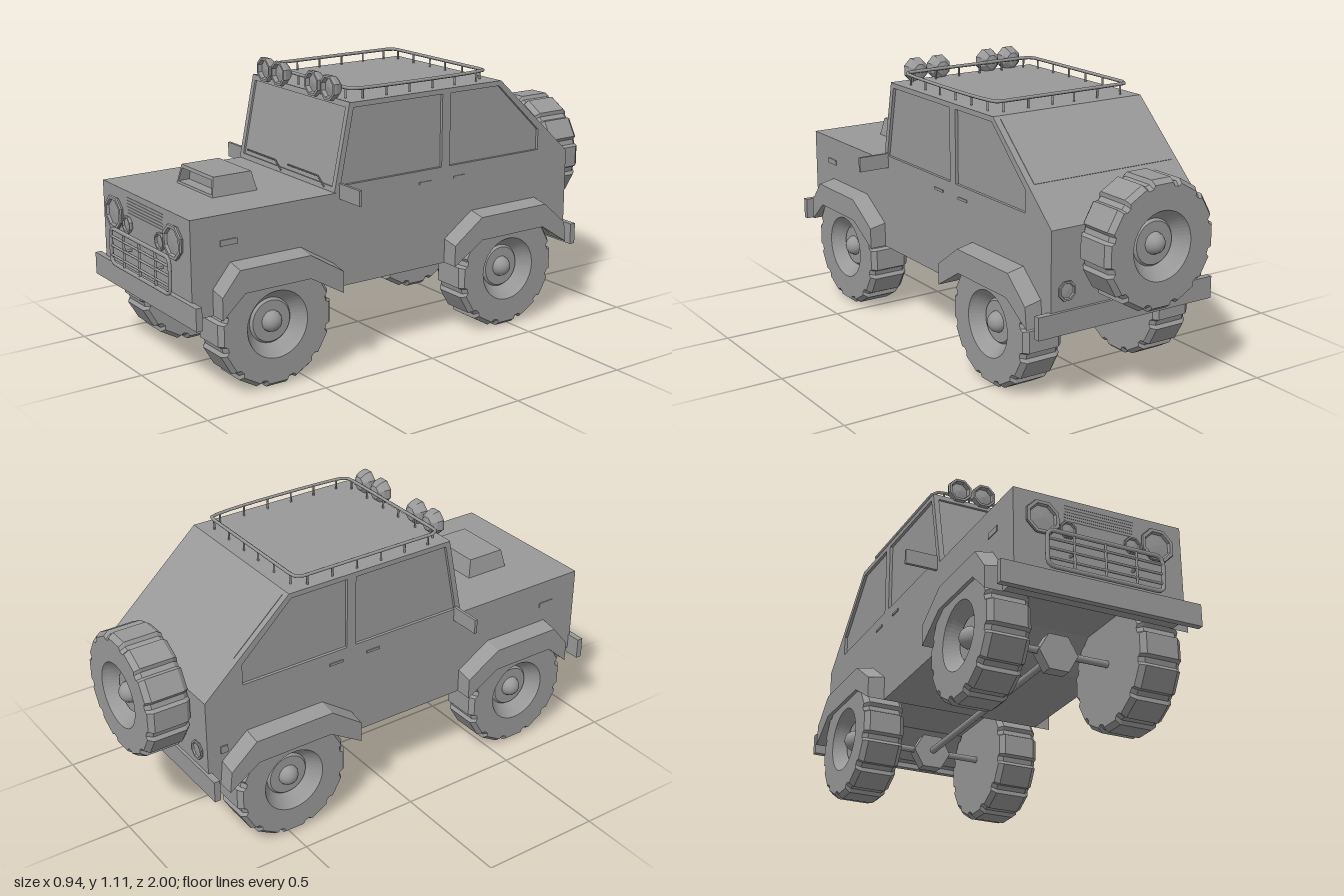
import * as THREE from 'three';

const smooth = new THREE.MeshStandardMaterial({ color: 0x999999, side: THREE.DoubleSide });
const flat = new THREE.MeshStandardMaterial({ color: 0x999999, flatShading: true, side: THREE.DoubleSide });

function add(parent, name, geo, x = 0, y = 0, z = 0, mat = flat) {
  const m = new THREE.Mesh(geo, mat);
  m.name = name;
  m.position.set(x, y, z);
  parent.add(m);
  return m;
}
const box = (p, name, w, h, d, x, y, z) => add(p, name, new THREE.BoxGeometry(w, h, d), x, y, z);
const vectors = pts => pts.map(p => new THREE.Vector2(...p));
function poly(pts, ...holes) {
  const s = new THREE.Shape(vectors(pts));
  s.holes = holes.map(h => new THREE.Path(vectors(h)));
  return s;
}
const extrude = (shape, depth) => new THREE.ExtrudeGeometry(shape, { depth, bevelEnabled: false });

// Extrude a (z, y) outline sideways from x0 to x1
const slab = (shape, x0, x1) => extrude(shape, x1 - x0).rotateY(-Math.PI / 2).translate(x1, 0, 0);

// Closed tube along a rounded rectangle lying in the XY plane
function loopTube(w, h, r, radius) {
  const s = new THREE.Shape(), a = w / 2 - r, b = h / 2 - r;
  s.absarc(a, b, r, 0, Math.PI / 2).absarc(-a, b, r, Math.PI / 2, Math.PI);
  s.absarc(-a, -b, r, Math.PI, Math.PI * 1.5).absarc(a, -b, r, Math.PI * 1.5, Math.PI * 2);
  const pts = s.getSpacedPoints(80).slice(0, -1).map(p => new THREE.Vector3(p.x, p.y, 0));
  return new THREE.TubeGeometry(new THREE.CatmullRomCurve3(pts, true), 80, radius, 6, true);
}

function rod(p, name, radius, from, to) {
  const a = new THREE.Vector3(...from), b = new THREE.Vector3(...to), d = b.clone().sub(a);
  const m = add(p, name, new THREE.CylinderGeometry(radius, radius, d.length(), 8), 0, 0, 0, smooth);
  m.position.copy(a).lerp(b, 0.5);
  m.quaternion.setFromUnitVectors(new THREE.Vector3(0, 1, 0), d.normalize());
}

// Wheel with twelve flat tread lugs and narrow grooves, outer face towards +y
function wheel(name) {
  const g = new THREE.Group();
  g.name = name;
  const profile = [[0, 0], [0.23, 0], [0.246, 0.02], [0.246, 0.15], [0.23, 0.17], [0.13, 0.17],
    [0.122, 0.157], [0.088, 0.115], [0.08, 0.125], [0, 0.125]];
  const tire = new THREE.LatheGeometry(vectors(profile), 48);
  const pos = tire.attributes.position;
  const angles = [-10, 10, 12.5, 17.5];
  for (let i = 0; i < pos.count; i++) {
    const r = Math.hypot(pos.getX(i), pos.getZ(i));
    if (r < 0.2) continue;
    const k = Math.floor(i / profile.length), step = k % 4;
    const a = THREE.MathUtils.degToRad(Math.floor(k / 4) * 30 + angles[step]);
    const radius = step > 1 ? r * 0.945 : r;
    pos.setXYZ(i, Math.sin(a) * radius, pos.getY(i), Math.cos(a) * radius);
  }
  add(g, 'tire', tire);
  add(g, 'hubCap', new THREE.SphereGeometry(0.042, 16, 6, 0, Math.PI * 2, 0, Math.PI / 2), 0, 0.122, 0, smooth);
  return g;
}

// Octagonal lamp facing +z: outer ring, sunken lens and domed back
function lamp(p, name, r, depth, x, y, z) {
  const pts = [[0, 0], [r * 0.55, depth * 0.1], [r * 0.9, depth * 0.45], [r, depth * 0.8], [r * 0.96, depth],
    [r * 0.78, depth], [r * 0.7, depth * 0.7], [0, depth * 0.8]];
  const geo = new THREE.LatheGeometry(vectors(pts), 8).rotateY(Math.PI / 8).rotateX(Math.PI / 2);
  return add(p, name, geo, x, y, z);
}

export function createModel() {
  const car = new THREE.Group();
  car.name = 'offRoadCar';

  // Body core and side skins with sunken windows
  const outline = [[0.96, 0.32], [0.88, 0.32], [0.78, 0.42], [0.5, 0.42], [0.35, 0.32], [-0.18, 0.32],
    [-0.32, 0.42], [-0.64, 0.42], [-0.77, 0.32], [-0.82, 0.32], [-0.82, 0.69], [-0.455, 1.025],
    [0.27, 1.025], [0.34, 0.69], [0.96, 0.69]];
  add(car, 'body', slab(poly(outline), -0.328, 0.328));
  const windows = [
    [[0.32, 0.715], [0.26, 1.005], [-0.16, 1.005], [-0.16, 0.715]],
    [[-0.2, 0.715], [-0.2, 1.005], [-0.445, 1.005], [-0.66, 0.8], [-0.66, 0.715]],
  ];
  for (const s of [-1, 1]) {
    add(car, 'sidePanel', slab(poly(outline, ...windows), s > 0 ? 0.328 : -0.34, s > 0 ? 0.34 : -0.328));
  }

  // Windscreen frame and wipers, leaning back with the cabin
  const screen = new THREE.Group();
  screen.name = 'windscreen';
  screen.position.set(0, 0.69, 0.34);
  screen.rotation.x = -0.206;
  const frame = poly([[-0.34, 0], [0.34, 0], [0.34, 0.342], [-0.34, 0.342]],
    [[-0.318, 0.02], [-0.318, 0.32], [0.318, 0.32], [0.318, 0.02]]);
  add(screen, 'windscreenFrame', extrude(frame, 0.008));
  for (const x of [-0.03, 0.27]) {
    rod(screen, 'wiperArm', 0.003, [x, 0.01, 0.01], [x - 0.05, 0.04, 0.01]);
    rod(screen, 'wiperBlade', 0.003, [x - 0.05, 0.04, 0.01], [x - 0.26, 0.04, 0.01]);
  }
  car.add(screen);

  // Rear window on the sloping back
  const rearGlass = box(car, 'rearWindow', 0.63, 0.004, 0.29, 0, 0.918, -0.572);
  rearGlass.rotation.x = -Math.atan2(0.335, 0.365);

  // Bonnet scoop: tapered rear part and an open mouth in front
  const scoop = new THREE.BoxGeometry(0.27, 0.075, 0.145);
  const sp = scoop.attributes.position;
  for (let i = 0; i < sp.count; i++) {
    if (sp.getY(i) > 0) sp.setXYZ(i, sp.getX(i) * 0.89, sp.getY(i), Math.max(sp.getZ(i), -0.056));
  }
  add(car, 'scoop', scoop, -0.003, 0.7265, 0.6275);
  const mouth = extrude(poly([[-0.135, 0], [0.135, 0], [0.12, 0.075], [-0.12, 0.075]],
    [[-0.125, 0.01], [-0.113, 0.062], [0.113, 0.062], [0.125, 0.01]]), 0.05);
  const mp = mouth.attributes.position;
  for (let i = 0; i < mp.count; i++) {
    if (mp.getZ(i) > 0.04) mp.setZ(i, 0.05 - mp.getY(i) * 0.2);
  }
  add(car, 'scoopMouth', mouth, -0.003, 0.689, 0.699);

  // Wheel arch flares, dropping slightly towards their outer edge
  const arches = [
    [[0.875, 0.32], [0.875, 0.42], [0.8, 0.51], [0.5, 0.51], [0.353, 0.42], [0.353, 0.32], [0.5, 0.42], [0.78, 0.42]],
    [[-0.18, 0.32], [-0.18, 0.42], [-0.315, 0.515], [-0.65, 0.515], [-0.76, 0.42], [-0.77, 0.32], [-0.64, 0.42], [-0.32, 0.42]],
  ];
  for (const arch of arches) for (const s of [-1, 1]) {
    const g = slab(poly(arch), s > 0 ? 0.335 : -0.409, s > 0 ? 0.409 : -0.335);
    const p = g.attributes.position;
    for (let i = 0; i < p.count; i++) {
      if (Math.abs(p.getX(i)) > 0.4 && p.getY(i) > 0.33) p.setY(i, p.getY(i) - 0.015);
    }
    add(car, 'wheelArch', g);
  }

  // Wheels, axles and drive shaft
  for (const z of [0.63, -0.48]) {
    for (const s of [-1, 1]) {
      const w = wheel(z > 0 ? 'frontWheel' : 'rearWheel');
      w.position.set(s * 0.217 - 0.005, 0.248, z);
      w.rotation.z = -s * Math.PI / 2;
      car.add(w);
    }
    rod(car, 'axle', 0.014, [-0.23, 0.255, z], [0.23, 0.255, z]);
    const diff = new THREE.CylinderGeometry(0.08, 0.08, 0.05, 6).rotateY(Math.PI / 6).rotateX(Math.PI / 2);
    add(car, 'differential', diff, -0.003, 0.25, z);
  }
  rod(car, 'driveShaft', 0.014, [0, 0.255, 0.63], [0, 0.255, -0.48]);

  // Spare wheel on the back
  const spare = wheel('spareWheel');
  spare.position.set(-0.01, 0.62, -0.825);
  spare.rotation.x = -Math.PI / 2;
  spare.scale.y = 1.03;
  car.add(spare);

  // Bumpers, mirrors and small side details
  box(car, 'frontBumper', 0.8, 0.087, 0.025, 0, 0.342, 0.966);
  box(car, 'rearBumper', 0.8, 0.087, 0.025, 0, 0.342, -0.819);
  box(car, 'fuelFlap', 0.008, 0.03, 0.03, -0.341, 0.47, -0.75);
  for (const s of [-1, 1]) {
    box(car, 'mirror', 0.135, 0.06, 0.012, s * 0.4025, 0.695, 0.32);
    box(car, 'sideMarker', 0.006, 0.022, 0.07, s * 0.341, 0.585, 0.805);
    for (const z of [-0.08, -0.25]) box(car, 'doorHandle', 0.006, 0.01, 0.06, s * 0.341, 0.665, z);
    lamp(car, 'headlight', 0.07, 0.03, s * 0.232, 0.587, 0.948);
    lamp(car, 'fogLight', 0.036, 0.025, s * 0.13, 0.563, 0.95);
    lamp(car, 'tailLight', 0.04, 0.02, s * 0.275, 0.46, -0.812).rotation.y = Math.PI;
  }

  // Front grille guard and louvers above it
  add(car, 'grilleGuard', loopTube(0.465, 0.14, 0.025, 0.008), 0.006, 0.463, 0.991, smooth);
  for (const y of [0.425, 0.463, 0.5]) rod(car, 'guardBar', 0.005, [-0.23, y, 0.991], [0.24, y, 0.991]);
  for (const x of [-0.12, 0.005, 0.13]) rod(car, 'guardUpright', 0.005, [x, 0.393, 0.991], [x, 0.533, 0.991]);
  for (const x of [-0.12, 0.13]) rod(car, 'guardMount', 0.005, [x, 0.463, 0.95], [x, 0.463, 0.991]);
  for (let i = 0; i < 6; i++) box(car, 'louver', 0.28, 0.003, 0.003, 0, 0.605 + i * 0.012, 0.96);

  // Roof rack with posts and lamps
  const rack = loopTube(0.615, 0.65, 0.03, 0.007).rotateX(Math.PI / 2);
  add(car, 'roofRack', rack, -0.008, 1.065, -0.083, smooth);
  const post = (x, z) => rod(car, 'rackPost', 0.004, [x - 0.008, 1.02, z], [x - 0.008, 1.065, z]);
  for (const s of [-1, 1]) {
    for (let i = 0; i < 6; i++) post(s * 0.3075, 0.19 - i * 0.11);
    for (const x of [0.05, 0.16, 0.27]) {
      post(s * x, 0.242);
      post(s * x, -0.408);
    }
  }
  for (const x of [-0.23, -0.125, 0.113, 0.22]) lamp(car, 'roofLamp', 0.052, 0.055, x, 1.063, 0.243);

  return car;
}
